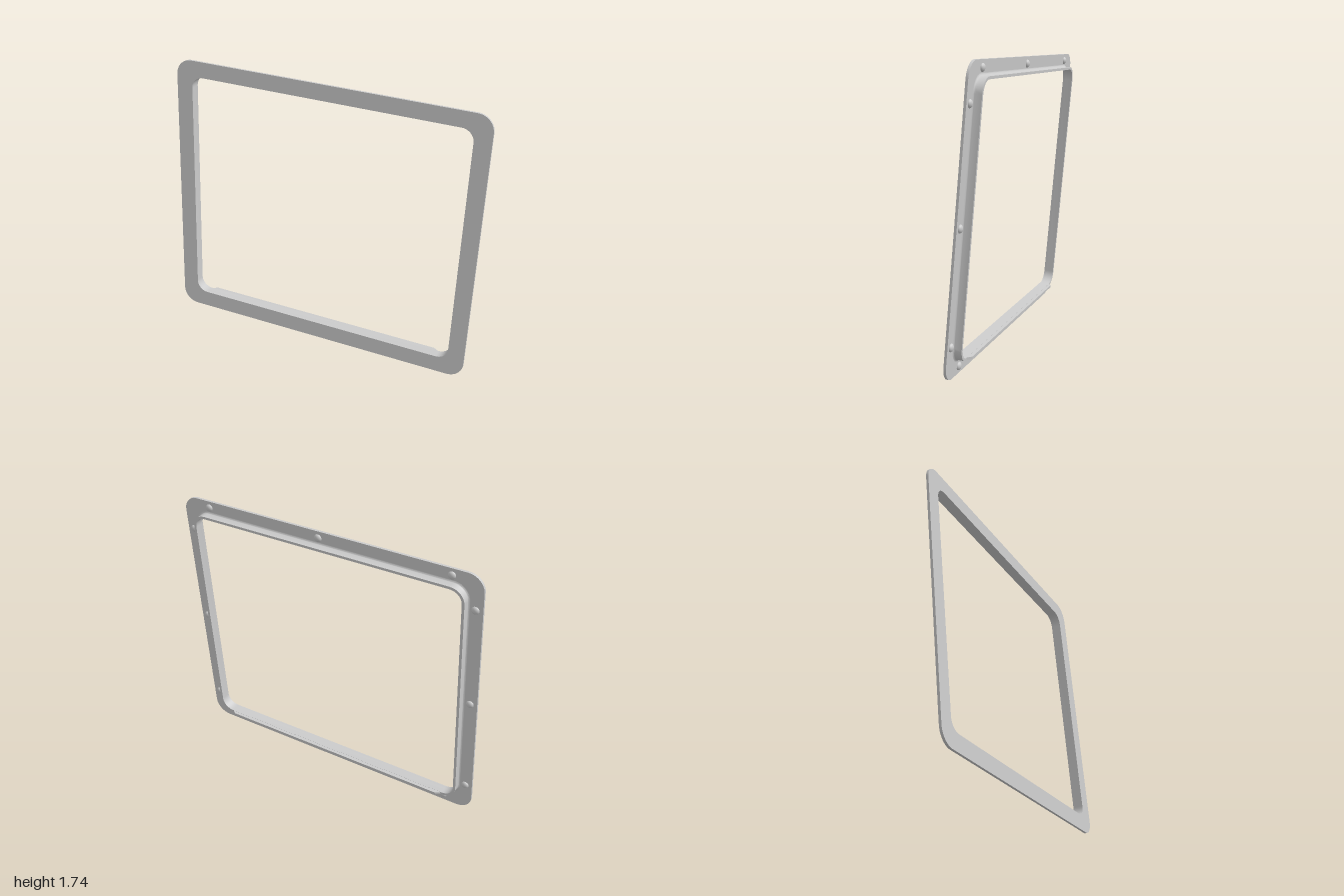
import * as THREE from 'three';
import { toCreasedNormals } from 'three/addons/utils/BufferGeometryUtils.js';

const material = new THREE.MeshStandardMaterial({ color: 0xcccccc });
const TILT = 0.0925;      // backward lean
const THICK = 0.015;      // face plate thickness
const DEPTH = 0.064;      // back of the collar
const OUTER = { hw: 1, y0: 0, y1: 1.743, r: 0.1 };
const OPENING = { hw: 0.895, y0: 0.107, y1: 1.643, r: 0.075 };

// Counter-clockwise rounded rectangle, grown outward by "grow"
function roundedLoop({ hw, y0, y1, r }, grow, segments = 10) {
  const points = [];
  const corners = [[hw - r, y1 - r], [r - hw, y1 - r], [r - hw, y0 + r], [hw - r, y0 + r]];
  corners.forEach(([cx, cy], q) => {
    for (let i = 0; i <= segments; i++) {
      const a = (q + i / segments) * Math.PI / 2;
      points.push([cx + (r + grow) * Math.cos(a), cy + (r + grow) * Math.sin(a)]);
    }
  });
  return points;
}

// Closed ring skinned through stations [rectangle, grow, z]:
// down the outside to the back, then forward along the inside
function ringGeometry(stations) {
  const positions = [], index = [];
  const n = roundedLoop(OUTER, 0).length;
  stations.forEach(([rect, grow, z]) => {
    for (const [x, y] of roundedLoop(rect, grow)) positions.push(x, y, z);
  });
  for (let k = 0; k < stations.length; k++) {
    const next = (k + 1) % stations.length;
    for (let i = 0; i < n; i++) {
      const j = (i + 1) % n;
      const a = k * n + i, b = k * n + j, c = next * n + i, d = next * n + j;
      index.push(a, c, b, b, c, d);
    }
  }
  const geometry = new THREE.BufferGeometry();
  geometry.setAttribute('position', new THREE.Float32BufferAttribute(positions, 3));
  geometry.setIndex(index);
  return toCreasedNormals(geometry, 0.6);
}

export function createModel() {
  const model = new THREE.Group();
  model.name = 'windowFrame';
  const frame = new THREE.Group();
  frame.name = 'leaningFrame';
  frame.rotation.x = -TILT;
  frame.position.set(0, THICK * Math.sin(TILT), 0.108);
  model.add(frame);

  const add = (name, geometry, parent = frame) => {
    const mesh = new THREE.Mesh(geometry, material);
    mesh.name = name;
    parent.add(mesh);
    return mesh;
  };

  // Flat front plate with rounded corners
  add('facePlate', ringGeometry([
    [OUTER, 0, 0], [OUTER, 0, -THICK], [OPENING, 0, -THICK], [OPENING, 0, 0],
  ]));

  // Collar around the opening, filleted into the back of the plate
  const wall = 0.016, fillet = 0.012;
  const collar = [];
  for (let i = 0; i <= 4; i++) {
    const a = i / 4 * Math.PI / 2;
    collar.push([OPENING, wall + fillet * (1 - Math.sin(a)), -THICK - fillet * (1 - Math.cos(a))]);
  }
  collar.push([OPENING, wall, -DEPTH], [OPENING, 0, -DEPTH], [OPENING, 0, -THICK]);
  add('collar', ringGeometry(collar));

  // Sill lip extending the bottom of the collar, with tapered ends
  const lipShape = new THREE.Shape();
  lipShape.moveTo(-0.82, -0.06);
  lipShape.lineTo(0.82, -0.06);
  lipShape.lineTo(0.81, -0.067);
  lipShape.lineTo(0.785, -0.085);
  lipShape.lineTo(-0.785, -0.085);
  lipShape.lineTo(-0.81, -0.067);
  lipShape.closePath();
  const lip = new THREE.ExtrudeGeometry(lipShape, { depth: 0.014, bevelEnabled: false });
  lip.rotateX(Math.PI / 2);
  lip.scale(1, 1, 1);
  // the turn maps shape y to z and the depth to -y
  add('sillLip', lip).position.y = OPENING.y0 - 0.001;

  // Domed fasteners on the back of the plate
  const fasteners = new THREE.Group();
  fasteners.name = 'fasteners';
  frame.add(fasteners);
  const dome = new THREE.SphereGeometry(0.024, 20, 8, 0, Math.PI * 2, 0, Math.PI / 2);
  dome.rotateX(-Math.PI / 2);
  dome.scale(1, 1, 0.7);
  const spots = [];
  for (const x of [-0.81, 0.03, 0.81]) spots.push([x, 0.045], [x, 1.7]);
  for (const y of [0.2, 0.86, 1.52]) spots.push([-0.955, y], [0.955, y]);
  for (const [x, y] of spots) add('fastener', dome, fasteners).position.set(x, y, -THICK);

  return model;
}
